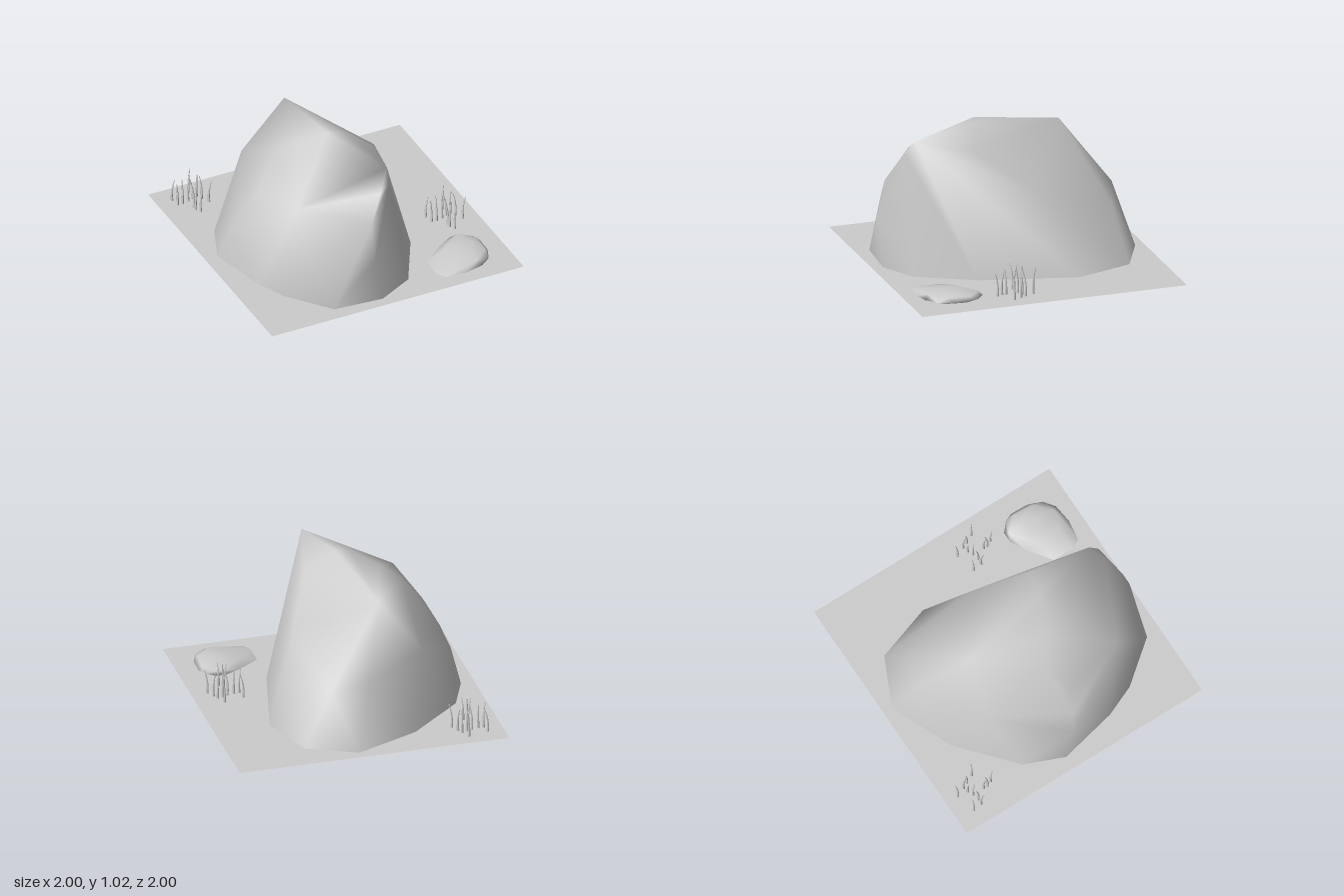
import * as THREE from 'three';
import { mergeVertices } from 'three/addons/utils/BufferGeometryUtils.js';
import { ConvexGeometry } from 'three/addons/geometries/ConvexGeometry.js';

const stone = new THREE.MeshStandardMaterial({ color: 0xcccccc });
const thin = new THREE.MeshStandardMaterial({ color: 0xcccccc, side: THREE.DoubleSide });

function addMesh(parent, name, geometry, material) {
  const mesh = new THREE.Mesh(geometry, material);
  mesh.name = name;
  parent.add(mesh);
  return mesh;
}

// Convex stone wrapped around a few corner points, open at the ground, with smooth normals.
function stoneGeometry(corners) {
  const hull = new ConvexGeometry(corners.map((c) => new THREE.Vector3(...c)));
  const source = hull.attributes.position.array, kept = [];
  for (let i = 0; i < source.length; i += 9) {
    if (Math.max(source[i + 1], source[i + 4], source[i + 7]) > 0.005) kept.push(...source.slice(i, i + 9));
  }
  let g = new THREE.BufferGeometry();
  g.setAttribute('position', new THREE.Float32BufferAttribute(kept, 3));
  g = mergeVertices(g);
  g.computeVertexNormals();
  return g;
}

// Tapered blade that curves away from its root.
function bladeGeometry(height, lean, angle) {
  const g = new THREE.CylinderGeometry(0.003, 0.01, height, 5, 4);
  g.translate(0, height / 2, 0);
  const p = g.attributes.position;
  for (let i = 0; i < p.count; i++) {
    const t = p.getY(i) / height;
    const bend = lean * (2 * t * t - t);
    p.setX(i, p.getX(i) + bend * Math.cos(angle));
    p.setZ(i, p.getZ(i) + bend * Math.sin(angle));
  }
  g.computeVertexNormals();
  return g;
}

function grassTuft(name, x, z) {
  const tuft = new THREE.Group();
  tuft.name = name;
  const roots = [
    [-0.11, -0.07], [-0.1, 0], [-0.06, 0], [-0.01, -0.01], [0.03, -0.03], [0.04, -0.11],
    [0.07, -0.04], [0.09, 0], [0.12, 0.06], [-0.01, 0.08], [-0.01, 0.11], [0.01, 0.15],
  ];
  roots.forEach(([rx, rz], i) => {
    const height = 0.17 + 0.03 * Math.abs(Math.sin(i * 2.3));
    const blade = addMesh(tuft, 'grassBlade', bladeGeometry(height, 0.02, i * 2.4), stone);
    blade.position.set(rx, 0, rz);
  });
  tuft.position.set(x, 0, z);
  return tuft;
}

export function createModel() {
  const model = new THREE.Group();
  model.name = 'boulderScene';

  // Square ground sheet
  const ground = new THREE.PlaneGeometry(2, 2).rotateX(-Math.PI / 2);
  addMesh(model, 'ground', ground, thin);

  // Large boulder: ground outline, then flanks, then the ridge
  const outline = [
    [0.09, -0.93], [0.45, -0.76], [0.59, -0.34], [0.41, 0.37], [0.19, 0.78], [-0.08, 0.92],
    [-0.45, 0.89], [-0.7, 0.58], [-0.8, 0.35], [-0.9, -0.09], [-0.78, -0.38], [-0.38, -0.73],
  ].map(([x, z]) => [x, 0, z]);
  const flanks = [
    [-0.02, 0.47, -0.79], [0.24, 0.39, -0.7], [-0.5, 0.53, -0.51], // back
    [0.35, 0.58, -0.1], [0.15, 0.87, 0.3], // +x side
    [-0.15, 0.35, 0.935], [-0.15, 0.63, 0.88], [-0.04, 0.82, 0.8], [0.03, 0.88, 0.79], // front
    [-0.55, 0.355, 0.77], [-0.58, 0.69, 0.55], // front corner
    [-0.85, 0.25, 0], [-0.78, 0.42, 0.05], [-0.67, 0.62, 0.1], [-0.49, 0.85, 0], [-0.35, 0.94, 0.1], // -x side
  ];
  const ridge = [[-0.19, 0.93, -0.45], [-0.17, 1.02, 0.2], [-0.06, 1.02, 0.24], [0.05, 0.97, 0.72]];
  addMesh(model, 'boulder', stoneGeometry([...outline, ...flanks, ...ridge]), stone);

  // Small flat stone, thinning out towards -x
  const flatStone = [
    // rim
    [0.68, 0.02, 0.46], [0.76, 0.02, 0.46], [0.83, 0.02, 0.52], [0.855, 0.02, 0.58], [0.85, 0.02, 0.72],
    [0.81, 0.02, 0.82], [0.73, 0.02, 0.88], [0.59, 0.01, 0.9], [0.44, 0.005, 0.88], [0.4, 0.005, 0.82],
    [0.4, 0.005, 0.65], [0.57, 0.015, 0.52],
    // foot
    [0.7, 0, 0.5], [0.82, 0, 0.6], [0.8, 0, 0.76], [0.6, 0, 0.87], [0.42, 0, 0.84], [0.42, 0, 0.66],
    // crown
    [0.73, 0.045, 0.48], [0.83, 0.045, 0.58], [0.82, 0.048, 0.74], [0.7, 0.05, 0.85], [0.55, 0.045, 0.8],
    [0.54, 0.045, 0.62], [0.66, 0.063, 0.6], [0.77, 0.064, 0.64], [0.72, 0.065, 0.73], [0.63, 0.06, 0.72],
  ];
  addMesh(model, 'flatStone', stoneGeometry(flatStone), stone);

  // Two matching tufts of grass
  model.add(grassTuft('rightGrass', 0.76, 0.2), grassTuft('backGrass', -0.77, -0.79));

  return model;
}
